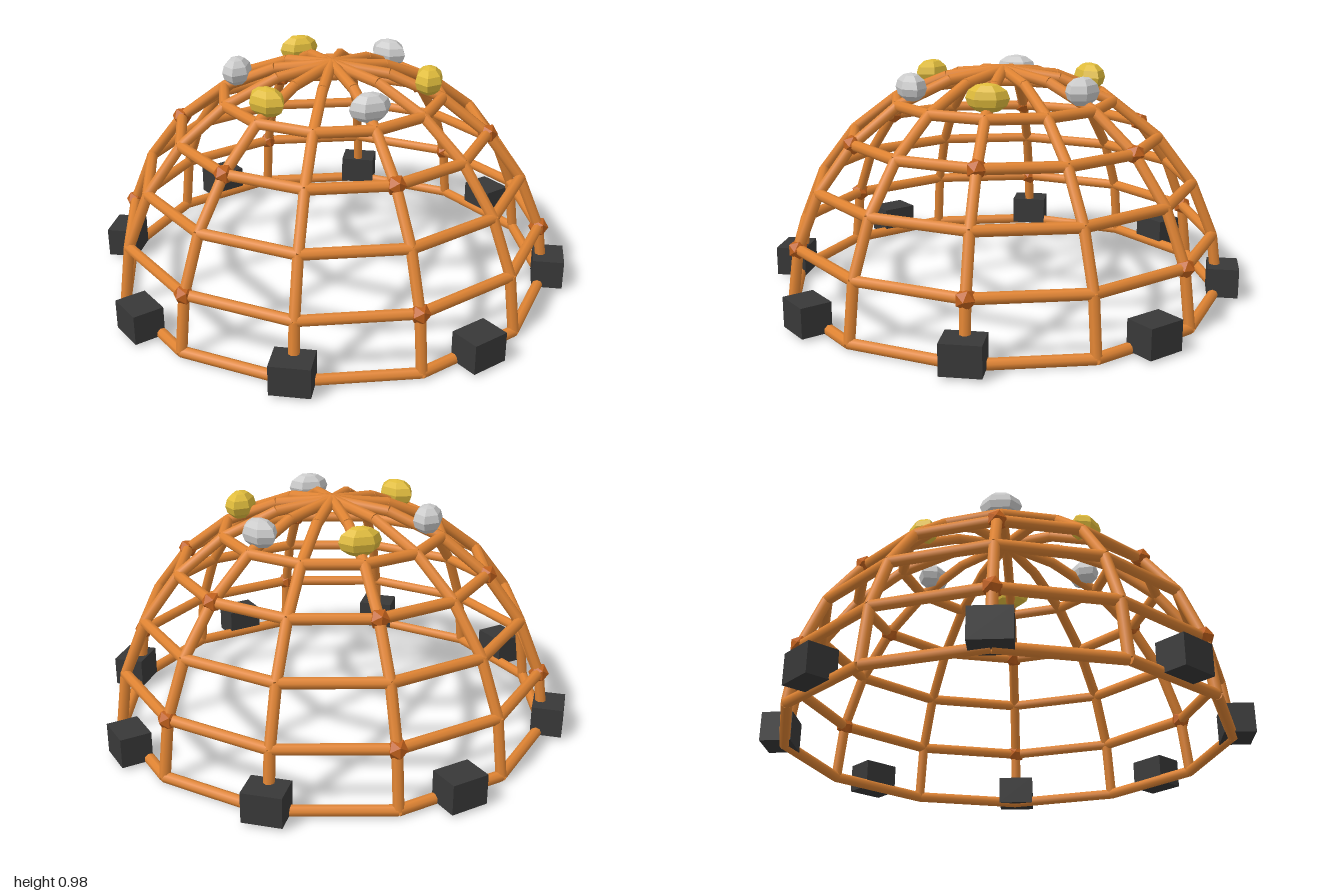
import * as THREE from 'three';

const R = 0.93, BASE = 0.028, TUBE = 0.023, SIDES = 12;
const rad = THREE.MathUtils.degToRad;

const frameMat = new THREE.MeshStandardMaterial({ color: 0xe08433 });
const jointMat = new THREE.MeshStandardMaterial({ color: 0xc0601c, flatShading: true });
const blockMat = new THREE.MeshStandardMaterial({ color: 0x383838 });
const yellowMat = new THREE.MeshStandardMaterial({ color: 0xe0bc3c, flatShading: true });
const greyMat = new THREE.MeshStandardMaterial({ color: 0xbcbcbc, flatShading: true });

// Point on the dome: azimuth from +x towards +z, elevation above the base
function domePoint(azimuth, elevation) {
  const a = rad(azimuth), e = rad(elevation);
  return new THREE.Vector3(
    R * Math.cos(e) * Math.cos(a), BASE + R * Math.sin(e), R * Math.cos(e) * Math.sin(a));
}

// Straight tube between two points
function bar(name, a, b) {
  const mesh = new THREE.Mesh(new THREE.CylinderGeometry(TUBE, TUBE, a.distanceTo(b), 8), frameMat);
  mesh.name = name;
  mesh.position.copy(a).add(b).multiplyScalar(0.5);
  mesh.quaternion.setFromUnitVectors(new THREE.Vector3(0, 1, 0), b.clone().sub(a).normalize());
  return mesh;
}

// Part placed round the y axis with its local z pointing outwards
function place(mesh, name, azimuth, radius, y) {
  const a = rad(azimuth);
  mesh.name = name;
  mesh.position.set(radius * Math.cos(a), y, radius * Math.sin(a));
  mesh.rotation.y = Math.PI / 2 - a;
  return mesh;
}

export function createModel() {
  const model = new THREE.Group();
  model.name = 'climbingDome';
  const ribs = new THREE.Group(), rings = new THREE.Group(), joints = new THREE.Group();
  const blocks = new THREE.Group(), grips = new THREE.Group();
  ribs.name = 'ribs';
  rings.name = 'rings';
  joints.name = 'joints';
  blocks.name = 'anchorBlocks';
  grips.name = 'topGrips';
  model.add(ribs, rings, joints, blocks, grips);

  for (let i = 0; i < SIDES; i++) {
    const az = i * 30;
    // Ribs run from the ground to the apex
    for (let e = 0; e < 90; e += 15) ribs.add(bar('rib', domePoint(az, e), domePoint(az, e + 15)));
    // Horizontal rings
    for (let e = 0; e <= 60; e += 15) rings.add(bar('ringBar', domePoint(az, e), domePoint(az + 30, e)));
  }

  // Connectors on every second rib of two rings
  const jointGeo = new THREE.IcosahedronGeometry(0.043, 0);
  for (const e of [15, 45]) {
    for (let az = 30; az < 390; az += 60) {
      const joint = new THREE.Mesh(jointGeo, jointMat);
      joint.name = 'joint';
      joint.position.copy(domePoint(az, e));
      joints.add(joint);
    }
  }

  // Eight anchor blocks at the foot
  const blockGeo = new THREE.BoxGeometry(0.16, 0.125, 0.13);
  for (let i = 0; i < 8; i++) {
    blocks.add(place(new THREE.Mesh(blockGeo, blockMat), 'anchorBlock', 30 + i * 45, 0.95, 0.08));
  }

  // Six grips near the top, alternating in colour
  const gripGeo = new THREE.SphereGeometry(1, 6, 6).scale(0.088, 0.06, 0.062);
  for (let i = 0; i < 6; i++) {
    const mat = i % 2 ? greyMat : yellowMat;
    grips.add(place(new THREE.Mesh(gripGeo, mat), 'grip', 30 + i * 60, 0.405, 0.907));
  }
  return model;
}
